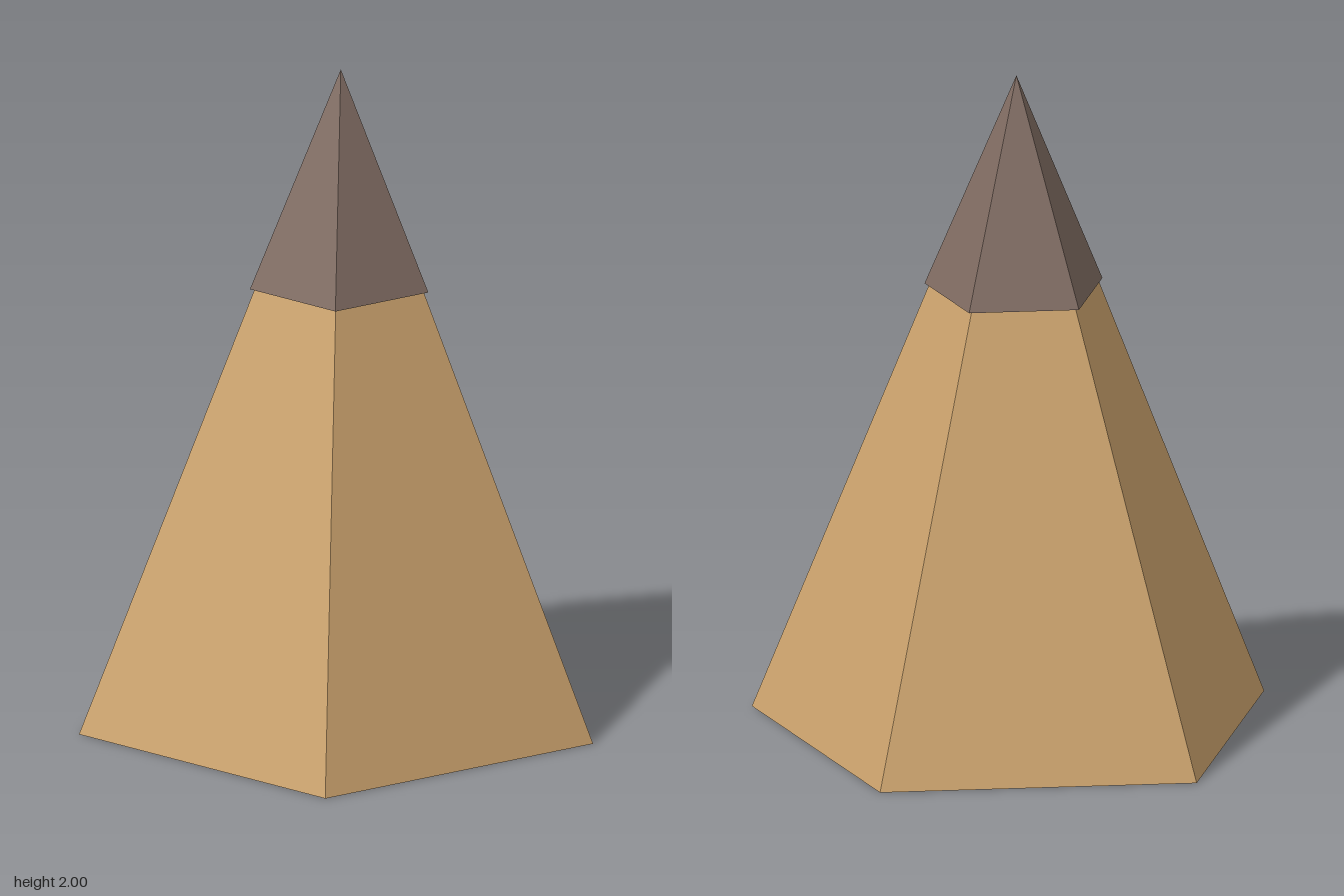
import * as THREE from 'three';

const AXIS_X = -0.076; // shifts the pentagon so its bounds are centred on x = 0

// Five-sided pyramid with one corner pointing to +x
function pyramid(name, radius, bottom, top, material) {
  const geometry = new THREE.ConeGeometry(radius, top - bottom, 5, 1, false, Math.PI / 2).toNonIndexed();
  geometry.computeVertexNormals(); // flat facets
  const mesh = new THREE.Mesh(geometry, material);
  mesh.name = name;
  mesh.position.set(AXIS_X, (top + bottom) / 2, 0);
  return mesh;
}

export function createModel() {
  const tan = new THREE.MeshStandardMaterial({ color: 0xcca36d });
  tan.name = 'tan';
  const greyBrown = new THREE.MeshStandardMaterial({ color: 0x806c62 });
  greyBrown.name = 'grey brown';
  tan.flatShading = greyBrown.flatShading = true;

  const model = new THREE.Group();
  model.name = 'pointedTent';
  // Body, and a slightly wider cap that overhangs it
  model.add(pyramid('body', 0.798, 0, 1.995, tan));
  model.add(pyramid('cap', 0.277, 1.34, 2, greyBrown));
  return model;
}
